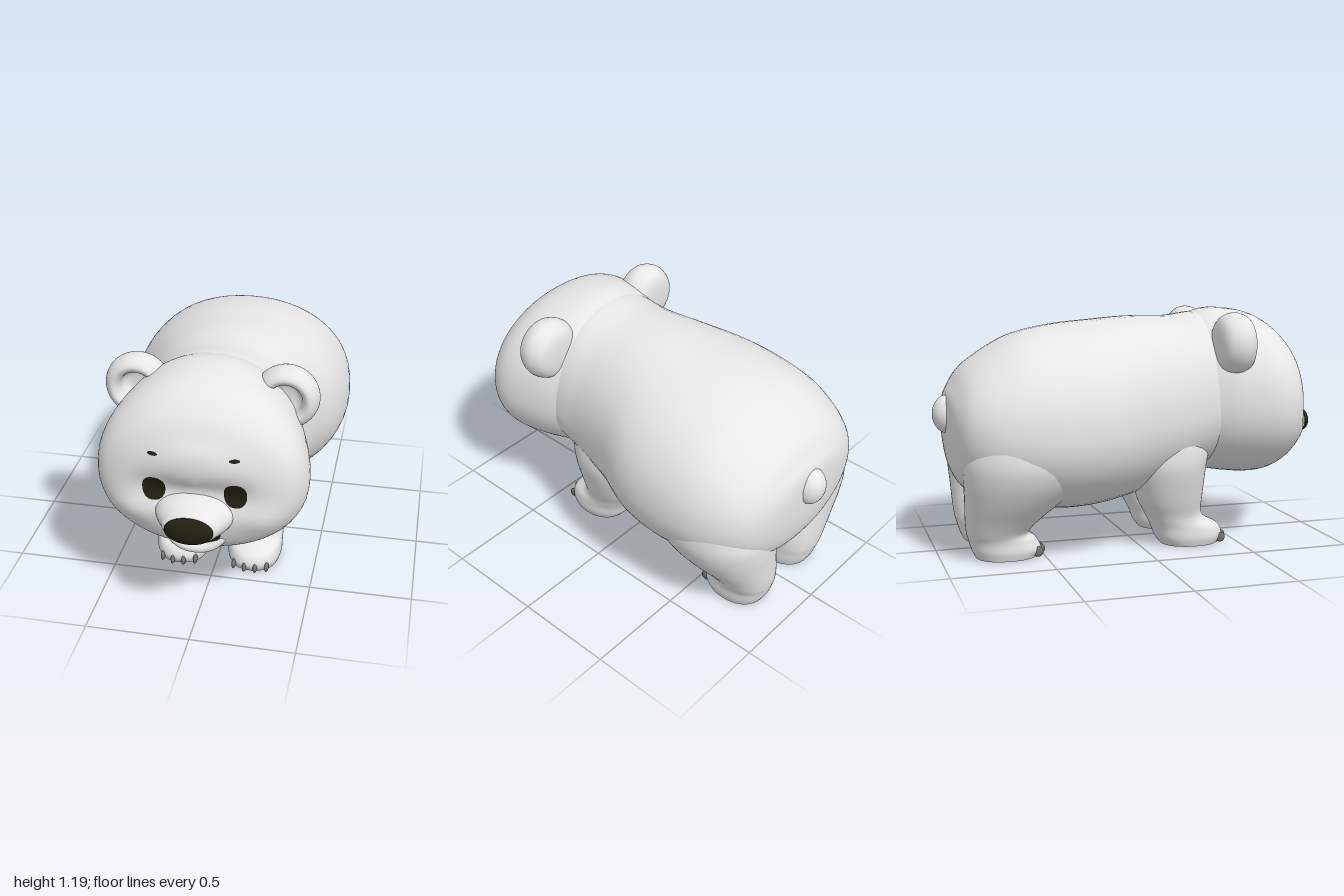
import * as THREE from 'three';

const SEG = 56, STEP = 6;
const spline = (a, b, c, d, t) => 0.5 * (2 * b + (c - a) * t + (2 * a - 5 * b + 4 * c - d) * t * t
  + (3 * b - a - 3 * c + d) * t * t * t);
const bend = (v, p) => Math.sign(v) * Math.pow(Math.abs(v), 2 / p);

// Smooth skin through sections [s, cu, cv, ru, rvUp, rvDown]; s runs along z, or along y if upright
function loft(sections, p = 2, upright = false) {
  const pos = [], idx = [], n = sections.length;
  const put = (u, v, s) => (upright ? pos.push(u, s, -v) : pos.push(u, v, s));
  const at = i => sections[Math.min(n - 1, Math.max(0, i))];
  const rows = (n - 1) * STEP + 1;
  for (let r = 0; r < rows; r++) {
    const i = Math.min(n - 2, Math.floor(r / STEP)), t = r / STEP - i;
    const [s, cu, cv, ru, up, down] = at(i).map((_, k) => {
      const v = spline(at(i - 1)[k], at(i)[k], at(i + 1)[k], at(i + 2)[k], t);
      return k > 2 ? Math.max(0, v) : v;
    });
    for (let j = 0; j < SEG; j++) {
      const a = (j / SEG) * Math.PI * 2, sv = bend(Math.sin(a), p);
      put(cu + ru * bend(Math.cos(a), p), cv + sv * (sv > 0 ? up : down), s);
    }
  }
  for (let r = 0; r < rows - 1; r++) for (let j = 0; j < SEG; j++) {
    const a = r * SEG + j, b = r * SEG + (j + 1) % SEG;
    idx.push(a, b, b + SEG, a, b + SEG, a + SEG);
  }
  // flat sole under an upright loft
  if (upright) {
    const base = pos.length / 3;
    pos.push(...pos.slice(0, SEG * 3));
    put(sections[0][1], sections[0][2], sections[0][0]);
    for (let j = 0; j < SEG; j++) idx.push(base + SEG, base + (j + 1) % SEG, base + j);
  }
  const g = new THREE.BufferGeometry();
  g.setAttribute('position', new THREE.Float32BufferAttribute(pos, 3));
  g.setIndex(idx);
  g.computeVertexNormals();
  return g;
}

// Upright loft from bounds [y, xMin, xMax, zBack, zFront]
const limb = rows => loft(rows.map(([y, x0, x1, z0, z1]) =>
  [y, (x0 + x1) / 2, -(z0 + z1) / 2, (x1 - x0) / 2, (z1 - z0) / 2, (z1 - z0) / 2]), 2.2, true);

const blob = (x, y, z, rx, ry, rz) =>
  new THREE.SphereGeometry(1, 40, 28).scale(rx, ry, rz).translate(x, y, z);

// Thin rounded patch laid onto the front of the target meshes
function patch(targets, cx, cy, rx, ry, p = 2) {
  const g = new THREE.RingGeometry(0.0001, 1, 40, 8), q = g.attributes.position;
  const ray = new THREE.Raycaster();
  for (let i = 0; i < q.count; i++) {
    const r = Math.hypot(q.getX(i), q.getY(i));
    const x = cx + rx * r * bend(q.getX(i) / r, p), y = cy + ry * r * bend(q.getY(i) / r, p);
    ray.set(new THREE.Vector3(x, y, 3), new THREE.Vector3(0, 0, -1));
    const hit = ray.intersectObjects(targets)[0];
    q.setXYZ(i, x, y, (hit ? hit.point.z : 0.8) + 0.005);
  }
  g.computeVertexNormals();
  return g;
}

export function createModel() {
  const model = new THREE.Group();
  model.name = 'bear';
  const mat = (name, color) => Object.assign(new THREE.MeshStandardMaterial({ color }), { name });
  const fur = mat('pale fur', 0xeeeeee);
  const dark = mat('dark features', 0x222010);
  const claw = mat('claw grey', 0x727270);
  const add = (name, geometry, material) => {
    const m = new THREE.Mesh(geometry, material);
    m.name = name;
    model.add(m);
    return m;
  };

  // Body, open where it enters the head: [z, half width, middle y, top y, bottom y]
  const trunk = rows => rows.map(([z, w, c, t, b]) => [z, 0, c, w, t - c, c - b]);
  add('body', loft(trunk([
    [-0.943, 0, 0.65, 0.65, 0.65], [-0.935, 0.2, 0.65, 0.77, 0.49], [-0.905, 0.345, 0.63, 0.835, 0.38],
    [-0.85, 0.435, 0.62, 0.915, 0.31], [-0.75, 0.508, 0.61, 0.99, 0.26], [-0.6, 0.557, 0.61, 1.07, 0.225],
    [-0.4, 0.573, 0.61, 1.115, 0.2], [-0.2, 0.55, 0.63, 1.135, 0.21], [0, 0.475, 0.66, 1.15, 0.25],
    [0.2, 0.425, 0.68, 1.15, 0.3], [0.35, 0.412, 0.7, 1.168, 0.37], [0.45, 0.4, 0.7, 1.155, 0.42],
  ]), 2.1), fur);
  add('tail', blob(0, 0.685, -0.925, 0.08, 0.095, 0.075), fur);

  // Head, open at the neck, with a hollow across the eyes and small cheek bumps
  const headShape = loft(trunk([
    [0.28, 0.375, 0.72, 1.13, 0.39], [0.35, 0.412, 0.72, 1.168, 0.362],
    [0.45, 0.455, 0.715, 1.188, 0.34], [0.6, 0.492, 0.71, 1.17, 0.325], [0.7, 0.487, 0.71, 1.125, 0.34],
    [0.78, 0.435, 0.71, 1.05, 0.385], [0.83, 0.32, 0.71, 0.965, 0.45], [0.865, 0.15, 0.73, 0.89, 0.57],
    [0.88, 0, 0.75, 0.75, 0.75],
  ]), 2.1);
  const hp = headShape.attributes.position;
  for (let i = 0; i < hp.count; i++) {
    const x = hp.getX(i), y = hp.getY(i), z = hp.getZ(i);
    if (z < 0.6) continue;
    const hollow = 0.05 * Math.exp(-(((y - 0.7) / 0.08) ** 2) - (x / 0.26) ** 4);
    const cheek = 0.02 * Math.exp(-(((y - 0.58) / 0.07) ** 2) - ((Math.abs(x) - 0.3) / 0.1) ** 2);
    hp.setZ(i, z - hollow + cheek);
  }
  headShape.computeVertexNormals();
  const head = add('head', headShape, fur);

  // Muzzle and nose
  add('muzzle', loft(trunk([
    [0.76, 0.2, 0.595, 0.7, 0.49], [0.82, 0.188, 0.595, 0.695, 0.49], [0.87, 0.17, 0.592, 0.685, 0.487],
    [0.915, 0.14, 0.585, 0.664, 0.495], [0.955, 0.108, 0.58, 0.644, 0.515], [0.973, 0, 0.58, 0.58, 0.58],
  ])), fur);
  add('nose', blob(0, 0.58, 0.96, 0.112, 0.066, 0.04), dark);

  // Open mouth set behind a smiling lower lip
  const chin = add('chin', blob(0, 0.46, 0.75, 0.125, 0.07, 0.08), fur);
  model.updateMatrixWorld(true);
  add('mouth', patch([head, chin], 0, 0.5, 0.122, 0.078), dark);
  add('tongue', blob(0, 0.468, 0.828, 0.064, 0.023, 0.022), fur);
  const lipLine = new THREE.CatmullRomCurve3([[-0.145, 0.51, 0.79], [-0.115, 0.452, 0.815], [-0.065, 0.418, 0.832],
    [0, 0.408, 0.838], [0.065, 0.418, 0.832], [0.115, 0.452, 0.815], [0.145, 0.51, 0.79]]
    .map(c => new THREE.Vector3(...c)));
  add('lowerLip', new THREE.TubeGeometry(lipLine, 40, 0.022, 12), fur);

  // Ear: cupped disc facing forward
  const earLine = new THREE.SplineCurve([[0, -0.085], [0.08, -0.08], [0.13, -0.055], [0.154, 0], [0.143, 0.055],
    [0.112, 0.085], [0.083, 0.068], [0.07, 0.02], [0.045, -0.005], [0, -0.01]]
    .map(([r, h]) => new THREE.Vector2(r, h)));
  const earProfile = earLine.getPoints(40).map(v => v.setX(Math.max(0, v.x)));

  for (const [side, s] of [['left', 1], ['right', -1]]) {
    add(side + 'Ear', new THREE.LatheGeometry(earProfile, 48).rotateX(Math.PI / 2)
      .translate(s * 0.351, 1.023, 0.43), fur);
    add(side + 'Eye', patch([head], s * 0.187, 0.708, 0.053, 0.061, 2.3), dark);
    add(side + 'Brow', patch([head], s * 0.185, 0.893, 0.024, 0.009), dark);
  }

  // Legs with flat soles, open inside the body: [y, xMin, xMax, zBack, zFront]
  const legs = {
    FrontLeg: [[0, 0.06, 0.31, 0.12, 0.42], [0.04, 0.05, 0.322, 0.09, 0.44], [0.09, 0.052, 0.322, 0.07, 0.42],
      [0.13, 0.055, 0.322, 0.05, 0.35], [0.17, 0.055, 0.33, 0.03, 0.323], [0.25, 0.05, 0.36, -0.01, 0.323],
      [0.4, 0.06, 0.403, -0.05, 0.33], [0.5, 0.08, 0.404, -0.06, 0.34], [0.6, 0.12, 0.385, -0.02, 0.31]],
    HindLeg: [[0, 0.06, 0.31, -0.83, -0.53], [0.04, 0.05, 0.322, -0.85, -0.51], [0.09, 0.05, 0.325, -0.865, -0.535],
      [0.13, 0.05, 0.34, -0.875, -0.57], [0.2, 0.04, 0.385, -0.882, -0.51], [0.3, 0.03, 0.46, -0.887, -0.4],
      [0.4, 0.03, 0.517, -0.893, -0.32], [0.5, 0.04, 0.54, -0.89, -0.3], [0.64, 0.06, 0.52, -0.85, -0.38]],
  };
  for (const [side, s] of [['left', 1], ['right', -1]]) {
    for (const [name, rows] of Object.entries(legs)) {
      add(side + name, limb(rows.map(([y, a, b, z0, z1]) =>
        (s > 0 ? [y, a, b, z0, z1] : [y, -b, -a, z0, z1]))), fur);
      // Four claws along the toes
      const toe = rows[1][4];
      [0.1, 0.157, 0.212, 0.268].forEach((x, i) => add(side + name + 'Claw' + (i + 1),
        blob(s * x, 0.028, toe - (i % 3 ? 0.008 : 0.028), 0.011, 0.025, 0.026), claw));
    }
  }
  return model;
}
